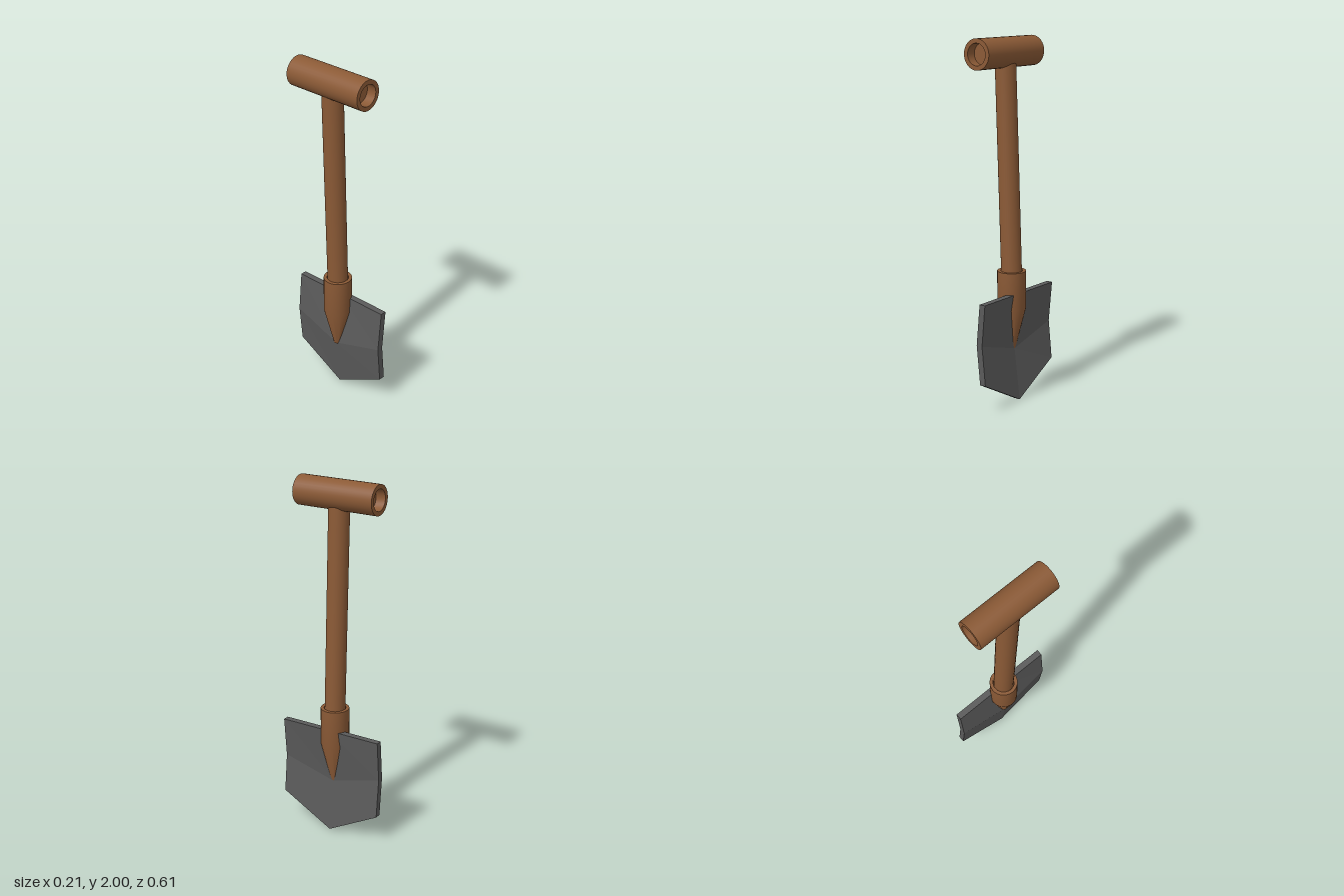
import * as THREE from 'three';
import { toCreasedNormals } from 'three/addons/utils/BufferGeometryUtils.js';

const wood = new THREE.MeshStandardMaterial({ color: 0x8b5a36 });
const steel = new THREE.MeshStandardMaterial({ color: 0x5a5a5a, flatShading: true });

// Turned part from [radius, height] pairs, listed upwards along the outside
function turned(name, profile) {
  const points = profile.map(([r, y]) => new THREE.Vector2(r, y));
  const geometry = toCreasedNormals(new THREE.LatheGeometry(points, 32), 0.6);
  const mesh = new THREE.Mesh(geometry, wood);
  mesh.name = name;
  return mesh;
}

// Cross-section of the folded blade: up the +x side, down the -x side
function bladeSection(z, bottomY, bendY, bendX) {
  const thickness = 0.036;
  const side = [[0.043, bottomY], [bendX, bendY], [0.042, 0.615]];
  return [
    ...side.map(([x, y]) => [x + thickness, y, z]),
    ...side.reverse().map(([x, y]) => [x, y, z]),
  ];
}

function createBlade() {
  const rings = [
    bladeSection(-0.305, 0.167, 0.385, 0.021),
    bladeSection(0, 0.003, 0.295, 0.007),
    bladeSection(0.305, 0.167, 0.385, 0.021),
  ];
  const positions = [];
  const quad = (a, b, c, d) => [a, b, c, a, c, d].forEach((p) => positions.push(...p));

  // Skin between neighbouring sections
  for (let k = 0; k < 2; k++) {
    for (let i = 0; i < 6; i++) {
      const j = (i + 1) % 6;
      quad(rings[k][i], rings[k][j], rings[k + 1][j], rings[k + 1][i]);
    }
  }
  // Side edges
  for (const [a, b, c, d] of [[0, 1, 4, 5], [1, 2, 3, 4]]) {
    const [back, , front] = rings;
    quad(front[a], front[b], front[c], front[d]);
    quad(back[d], back[c], back[b], back[a]);
  }

  const geometry = new THREE.BufferGeometry();
  geometry.setAttribute('position', new THREE.Float32BufferAttribute(positions, 3));
  geometry.computeVertexNormals();
  const mesh = new THREE.Mesh(geometry, steel);
  mesh.name = 'blade';
  return mesh;
}

export function createModel() {
  const model = new THREE.Group();
  model.name = 'shovel';

  // Cross grip with a shallow recess in each end
  const half = 0.24, outer = 0.082, inner = 0.058, depth = 0.055;
  const grip = turned('grip', [
    [0, -half + depth], [inner, -half + depth], [inner, -half], [outer, -half],
    [outer, half], [inner, half], [inner, half - depth], [0, half - depth],
  ]);
  grip.rotation.x = Math.PI / 2;
  grip.position.set(-0.023, 1.918, 0);
  model.add(grip);

  // Slightly leaning shaft from inside the socket to the grip
  const foot = new THREE.Vector3(0.027, 0.58, 0);
  const head = new THREE.Vector3(-0.021, 1.9, 0);
  const axis = head.clone().sub(foot);
  const shaft = new THREE.Mesh(new THREE.CylinderGeometry(0.057, 0.057, axis.length(), 32), wood);
  shaft.name = 'shaft';
  shaft.position.copy(foot).lerp(head, 0.5);
  shaft.quaternion.setFromUnitVectors(new THREE.Vector3(0, 1, 0), axis.normalize());
  model.add(shaft);

  // Tapered socket with an open top
  const socket = turned('socket', [
    [0, 0.295], [0.021, 0.295], [0.079, 0.525], [0.079, 0.737],
    [0.06, 0.737], [0.06, 0.66], [0, 0.66],
  ]);
  socket.position.x = 0.022;
  model.add(socket);

  model.add(createBlade());
  return model;
}
